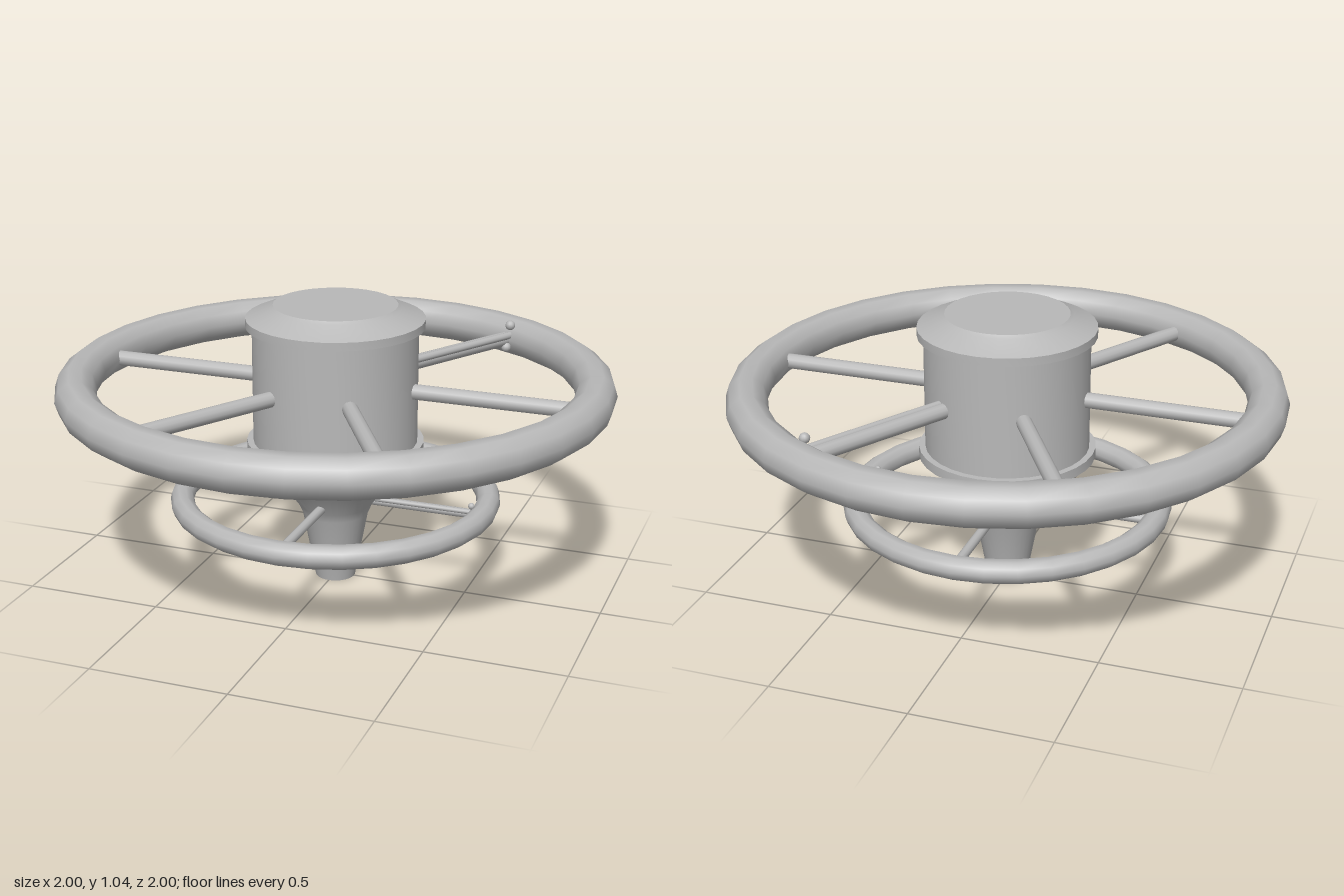
import * as THREE from 'three';
import { toCreasedNormals } from 'three/addons/utils/BufferGeometryUtils.js';

const grey = new THREE.MeshStandardMaterial({ color: 0xb8b8b8 });
grey.name = 'plainGrey';

function add(parent, name, geometry, x = 0, y = 0, z = 0) {
  const mesh = new THREE.Mesh(geometry, grey);
  mesh.name = name;
  mesh.position.set(x, y, z);
  parent.add(mesh);
  return mesh;
}

// Horizontal rod along local +x from radius a to radius b
function rod(parent, name, radius, a, b, y, z = 0) {
  const geometry = new THREE.CylinderGeometry(radius, radius, b - a, 12).rotateZ(Math.PI / 2);
  return add(parent, name, geometry, (a + b) / 2, y, z);
}

// Ring with evenly spaced spokes
function wheel(name, { y, major, minor, count, spokeRadius, inner }) {
  const group = new THREE.Group();
  group.name = name;
  group.position.y = y;
  add(group, name + 'Rim', new THREE.TorusGeometry(major, minor, 10, 32).rotateX(Math.PI / 2));
  for (let i = 0; i < count; i++) {
    const arm = new THREE.Group();
    arm.name = name + 'Arm';
    arm.rotation.y = (i / count) * Math.PI * 2;
    rod(arm, name + 'Spoke', spokeRadius, inner, major - minor * 0.6, 0);
    group.add(arm);
  }
  return group;
}

// Thin rod with small end balls lying beside one spoke
function sideRod(parent, angle, { inner, outer, side, lift, radius, ball, ballLift }) {
  const arm = new THREE.Group();
  arm.name = 'sideRodArm';
  arm.rotation.y = angle;
  rod(arm, 'sideRod', radius, inner, outer, lift, side);
  const sphere = new THREE.SphereGeometry(ball, 12, 8);
  add(arm, 'upperEndBall', sphere, outer, ballLift, side);
  add(arm, 'lowerEndBall', sphere, outer - ball, -ballLift * 0.45, side);
  parent.add(arm);
}

export function createModel() {
  const model = new THREE.Group();
  model.name = 'doubleHandwheel';

  // Turned hub: tapered shaft, flared shoulder, drum, flange and cap
  const profile = [
    [0, 0], [0.073, 0], [0.12, 0.25], [0.135, 0.285], [0.185, 0.355],
    [0.265, 0.468], [0.285, 0.487], [0.32, 0.5], [0.32, 0.535], [0.297, 0.535],
    [0.297, 0.96], [0.32, 0.96], [0.32, 0.99], [0.235, 1.027], [0.222, 1.037], [0, 1.037],
  ].map(([r, y]) => new THREE.Vector2(r, y));
  add(model, 'hub', toCreasedNormals(new THREE.LatheGeometry(profile, 32), 0.5));

  // Large wheel
  const large = wheel('largeWheel', {
    y: 0.745, major: 0.925, minor: 0.074, count: 6, spokeRadius: 0.028, inner: 0.27,
  });
  sideRod(large, Math.PI / 3, {
    inner: 0.28, outer: 0.86, side: 0.021, lift: 0.018, radius: 0.014, ball: 0.019, ballLift: 0.058,
  });
  model.add(large);

  // Small wheel
  const small = wheel('smallWheel', {
    y: 0.312, major: 0.56, minor: 0.043, count: 4, spokeRadius: 0.017, inner: 0.1,
  });
  sideRod(small, 0, {
    inner: 0.14, outer: 0.52, side: 0.012, lift: 0.011, radius: 0.009, ball: 0.012, ballLift: 0.034,
  });
  model.add(small);

  return model;
}
